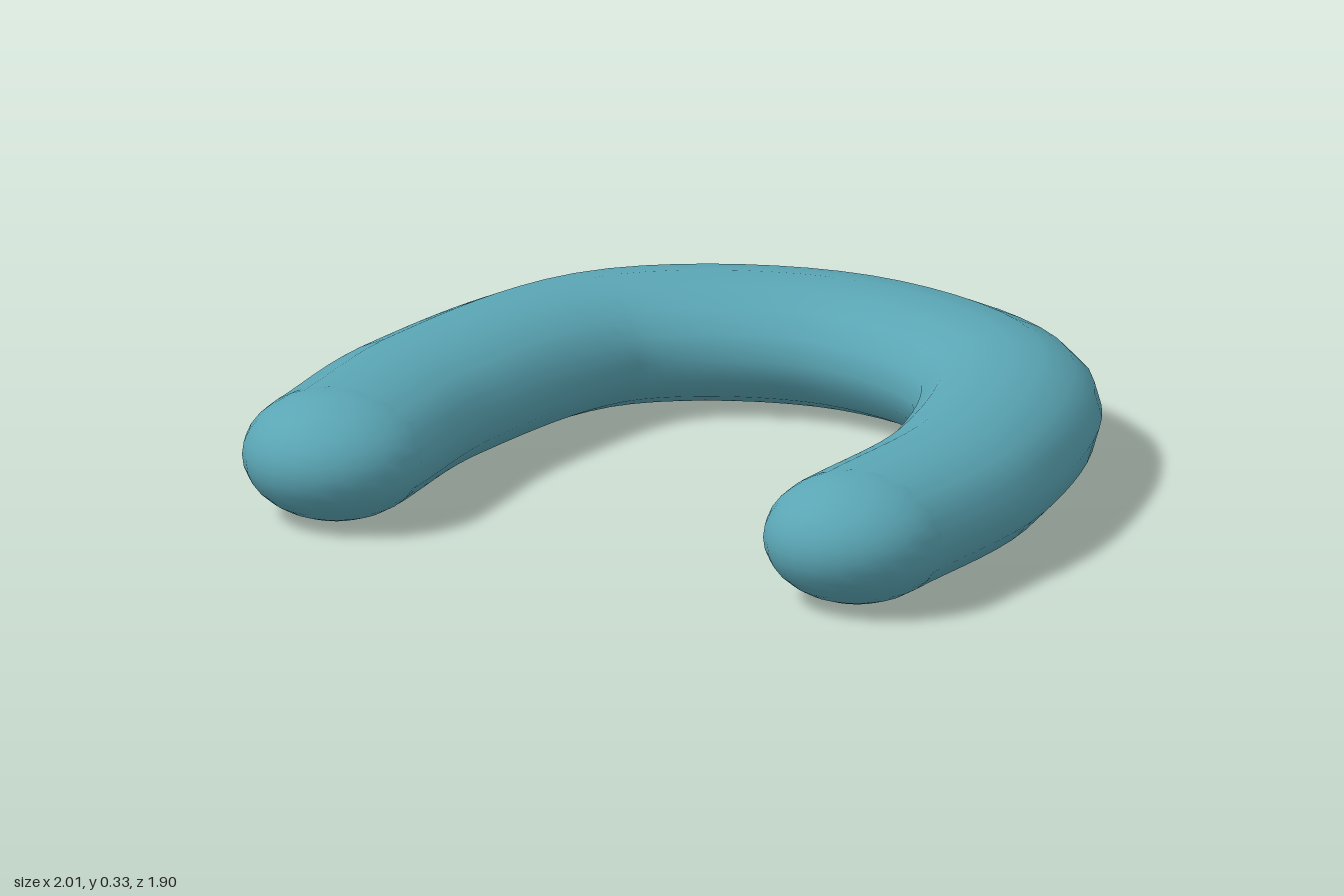
import * as THREE from 'three';

export function createModel() {
  const group = new THREE.Group();
  group.name = 'horseshoeBar';
  const material = new THREE.MeshStandardMaterial({ color: 0x5aa5b4 });

  const radius = 0.238;
  const flatten = 0.695; // the round section is squashed in height
  const midY = 0.17;

  // Centreline of the arch, as x and z
  const path = [
    [-0.747, 0.7], [-0.76, 0.2], [-0.575, -0.47], [-0.04, -0.713],
    [0.51, -0.51], [0.757, 0.15], [0.742, 0.7],
  ].map(([x, z]) => new THREE.Vector3(x, 0, z));

  function addPart(name, geometry, x = 0, z = 0) {
    geometry.scale(1, flatten, 1);
    const mesh = new THREE.Mesh(geometry, material);
    mesh.name = name;
    mesh.position.set(x, midY, z);
    group.add(mesh);
  }

  // Curved bar
  const curve = new THREE.CatmullRomCurve3(path);
  addPart('archedBar', new THREE.TubeGeometry(curve, 48, radius, 16, false));

  // Rounded ends
  const ends = { rightEnd: path[0], leftEnd: path[path.length - 1] };
  for (const [name, p] of Object.entries(ends)) {
    addPart(name, new THREE.SphereGeometry(radius, 24, 16), p.x, p.z + 0.01);
  }

  return group;
}
